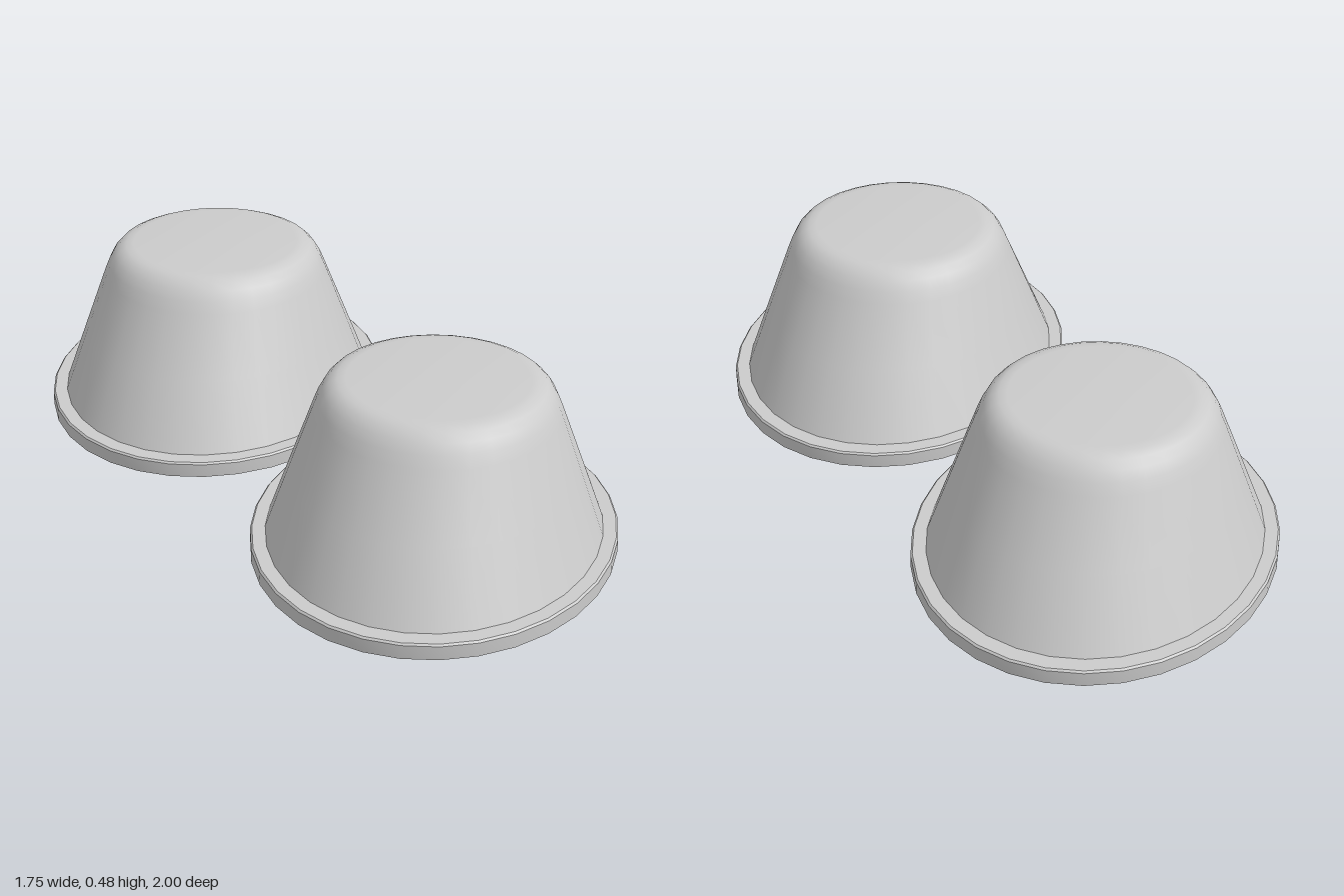
import * as THREE from 'three';
import { toCreasedNormals } from 'three/addons/utils/BufferGeometryUtils.js';

const SEGMENTS = 32;

// Each section: half-width in x, half-width in z, height, shift in z.
// Lathe the x profile, then stretch every ring into its ellipse.
function ovalLathe(sections) {
  const points = sections.map(([rx, , y]) => new THREE.Vector2(rx, y));
  const geometry = new THREE.LatheGeometry(points, SEGMENTS);
  const pos = geometry.attributes.position;
  for (let i = 0; i < pos.count; i++) {
    const [rx, rz, , dz = 0] = sections[i % sections.length];
    pos.setZ(i, (rx ? pos.getZ(i) * rz / rx : 0) + dz);
  }
  return toCreasedNormals(geometry, 0.6);
}

export function createModel() {
  const model = new THREE.Group();
  const material = new THREE.MeshStandardMaterial({ color: 0xcccccc, side: THREE.DoubleSide });

  // Hollow underside: recess ceiling, recess wall, foot ring and groove
  const underside = ovalLathe([
    [0, 0, 0.12, -0.03],
    [0.39, 0.42, 0.12, -0.03],
    [0.39, 0.42, 0, -0.03],
    [0.44, 0.47, 0, -0.03],
    [0.44, 0.47, 0.035, -0.03],
    [0.47, 0.588, 0.035],
    [0.47, 0.588, 0.012],
  ]);

  // Oval flange at the base
  const flange = ovalLathe([
    [0.47, 0.588, 0.012],
    [0.487, 0.605, 0.012],
    [0.487, 0.605, 0.05],
    [0.482, 0.6, 0.055],
    [0.447, 0.555, 0.055],
  ]);

  // Tapered body, oval at the base and nearly round at the rounded top
  const body = ovalLathe([
    [0.447, 0.555, 0.055],
    [0.385, 0.448, 0.23],
    [0.326, 0.345, 0.395],
    [0.314, 0.328, 0.425],
    [0.3, 0.308, 0.45],
    [0.283, 0.287, 0.468],
    [0.262, 0.264, 0.478],
    [0.24, 0.24, 0.48],
    [0, 0, 0.48],
  ]);

  // Two identical domes set diagonally
  for (const side of [-1, 1]) {
    const dome = new THREE.Group();
    dome.name = side < 0 ? 'rightRearDome' : 'leftFrontDome';
    for (const [name, geometry] of Object.entries({ underside, flange, body })) {
      const mesh = new THREE.Mesh(geometry, material);
      mesh.name = name;
      dome.add(mesh);
    }
    dome.position.set(side * 0.387, 0, side * 0.395);
    model.add(dome);
  }
  return model;
}
